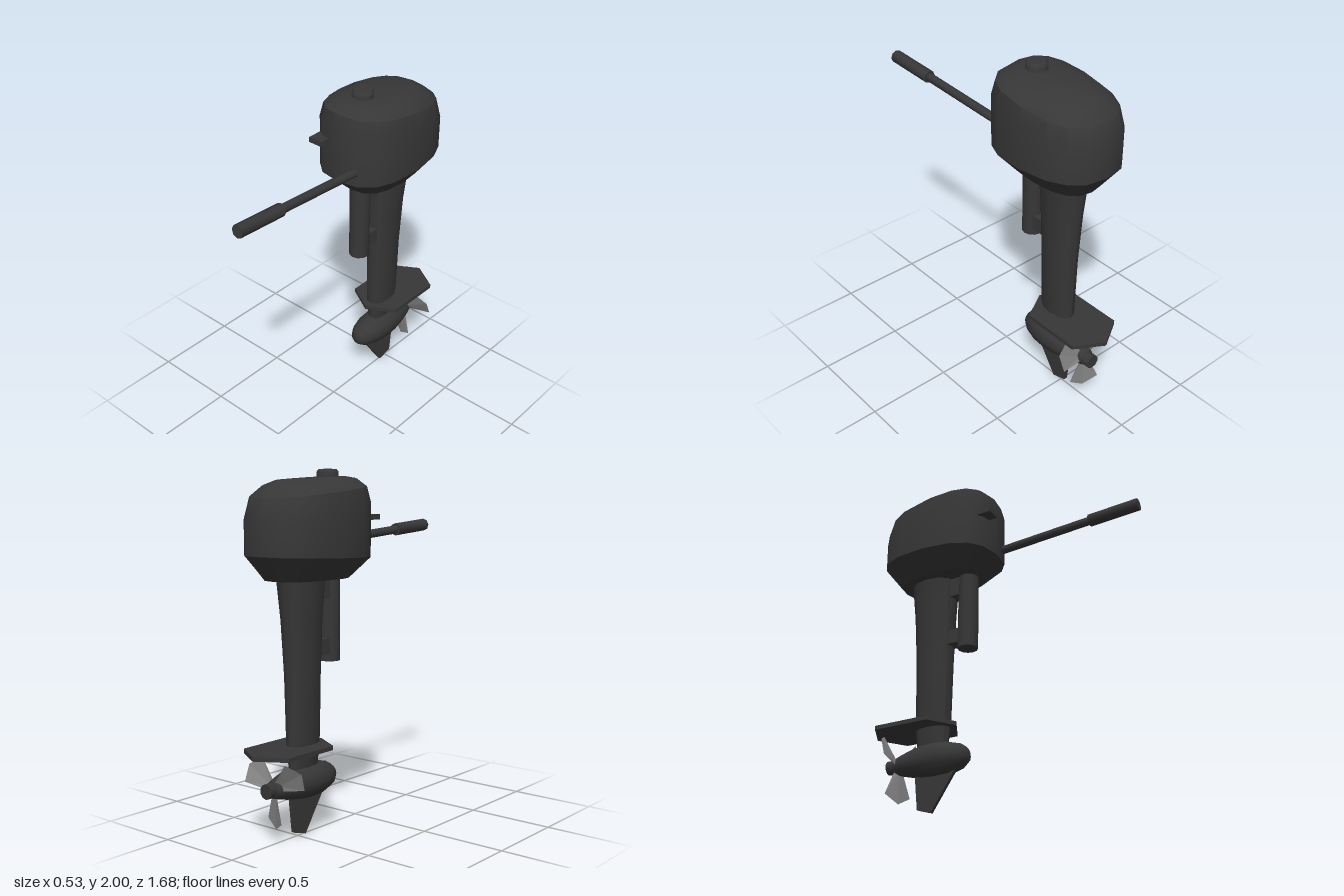
import * as THREE from 'three';
import { toCreasedNormals } from 'three/addons/utils/BufferGeometryUtils.js';

// Closed loft of rounded rings: [y, halfWidth, zFront, zBack, tilt]
function loft(rings, sides, power, crease) {
  const pos = [], idx = [];
  const soft = v => Math.sign(v) * Math.pow(Math.abs(v), power);
  for (const [y, hw, zf, zb, tilt = 0] of rings) {
    for (let i = 0; i < sides; i++) {
      const t = (i / sides) * Math.PI * 2;
      const s = soft(Math.sin(t));
      const narrow = s < 0 ? 1 + 0.06 * s : 1;
      pos.push(hw * soft(Math.cos(t)) * narrow, y + tilt * s, (zf + zb) / 2 + s * (zf - zb) / 2);
    }
  }
  const last = rings.length - 1;
  for (let j = 0; j < last; j++) {
    for (let i = 0; i < sides; i++) {
      const n = (i + 1) % sides;
      const a = j * sides + i, b = j * sides + n;
      idx.push(a, a + sides, b, b, a + sides, b + sides);
    }
  }
  const bottom = pos.length / 3, top = bottom + 1;
  for (const r of [rings[0], rings[last]]) pos.push(0, r[0], (r[2] + r[3]) / 2);
  for (let i = 0; i < sides; i++) {
    const n = (i + 1) % sides;
    idx.push(bottom, i, n, top, last * sides + n, last * sides + i);
  }
  const g = new THREE.BufferGeometry();
  g.setAttribute('position', new THREE.Float32BufferAttribute(pos, 3));
  g.setIndex(idx);
  g.computeVertexNormals();
  return toCreasedNormals(g, crease);
}

// Flat plate from an outline, extruded and centred on its thickness
function plate(points, thickness) {
  const shape = new THREE.Shape(points.map(p => new THREE.Vector2(...p)));
  return new THREE.ExtrudeGeometry(shape, { depth: thickness, bevelEnabled: false })
    .translate(0, 0, -thickness / 2);
}

export function createModel() {
  const model = new THREE.Group();
  model.name = 'outboardMotor';
  const body = new THREE.MeshStandardMaterial({ color: 0x373737 });
  body.name = 'charcoal';
  const metal = new THREE.MeshStandardMaterial({ color: 0x858585, side: THREE.DoubleSide, flatShading: true });
  metal.name = 'propellerGrey';

  function add(name, geometry, material = body, parent = model) {
    const mesh = new THREE.Mesh(geometry, material);
    mesh.name = name;
    parent.add(mesh);
    return mesh;
  }
  function box(name, w, h, d, x, y, z) {
    return add(name, new THREE.BoxGeometry(w, h, d).translate(x, y, z));
  }
  function rod(name, from, to, radius, sides) {
    const a = new THREE.Vector3(...from), b = new THREE.Vector3(...to);
    const dir = b.clone().sub(a);
    const g = new THREE.CylinderGeometry(radius, radius, dir.length(), sides);
    const mesh = add(name, toCreasedNormals(g, 0.9));
    mesh.position.copy(a).add(b).multiplyScalar(0.5);
    mesh.quaternion.setFromUnitVectors(new THREE.Vector3(0, 1, 0), dir.normalize());
    return mesh;
  }

  // Engine cowl, its top sloping down to the back
  add('cowl', loft([
    [1.415, 0.165, -0.15, -0.67],
    [1.535, 0.265, -0.03, -0.77, -0.012],
    [1.78, 0.265, -0.03, -0.77, 0.06],
    [1.88, 0.245, -0.05, -0.735, 0.035],
    [1.93, 0.19, -0.1, -0.665, 0.025],
    [1.95, 0.125, -0.155, -0.6, 0.014],
  ], 16, 0.75, 0.62));

  // Filler cap with a bevelled rim
  const capProfile = [[0, 1.93], [0.062, 1.93], [0.062, 1.985], [0.05, 2.0], [0, 2.0]];
  add('topCap', toCreasedNormals(
    new THREE.LatheGeometry(capProfile.map(p => new THREE.Vector2(...p)), 10), 0.7)
    .translate(0, 0, -0.235));
  box('chokeKnob', 0.09, 0.03, 0.085, -0.12, 1.74, -0.0275);

  // Tiller arm and grip
  rod('tillerArm', [0.102, 1.605, -0.08], [0.117, 1.65, 0.54], 0.025, 8);
  rod('tillerGrip', [0.117, 1.65, 0.53], [0.125, 1.672, 0.838], 0.037, 8);

  // Drive leg
  add('driveLeg', loft([
    [0.36, 0.045, -0.35, -0.55],
    [0.55, 0.065, -0.338, -0.562],
    [0.9, 0.074, -0.333, -0.568],
    [1.2, 0.088, -0.324, -0.585],
    [1.43, 0.112, -0.314, -0.605],
  ], 12, 0.85, 0.7));

  // Swivel tube and its two brackets
  rod('swivelTube', [0, 0.95, -0.225], [0, 1.43, -0.225], 0.06, 12);
  box('lowerBracket', 0.08, 0.09, 0.12, 0, 1.035, -0.3);
  box('upperBracket', 0.08, 0.12, 0.12, 0, 1.36, -0.29);

  // Plate above the propeller
  const outline = [[0, 0.295], [0.165, 0.39], [0.165, 0.74], [0, 0.84], [-0.165, 0.74], [-0.165, 0.39]];
  add('cavitationPlate', plate(outline, 0.024).rotateX(-Math.PI / 2).translate(0, 0.503, 0));

  // Torpedo-shaped gearcase, turned about the propeller axis
  const axisY = 0.305;
  const gearProfile = [[0, -0.7], [0.045, -0.7], [0.062, -0.65], [0.08, -0.58], [0.095, -0.5],
    [0.099, -0.42], [0.094, -0.34], [0.072, -0.26], [0.045, -0.222], [0.015, -0.21], [0, -0.21]];
  add('gearcase', toCreasedNormals(
    new THREE.LatheGeometry(gearProfile.map(p => new THREE.Vector2(...p)), 12), 0.7)
    .rotateX(Math.PI / 2).translate(0, axisY, 0));
  rod('propellerHub', [0, axisY, -0.64], [0, axisY, -0.745], 0.042, 10);

  // Skeg fin below the gearcase
  const fin = [[0.27, 0.26], [0.445, 0.003], [0.537, 0.03], [0.562, 0.26]];
  add('skeg', plate(fin, 0.022).rotateY(Math.PI / 2));

  // Three pitched blades, each gently folded along its spine
  const propeller = new THREE.Group();
  propeller.name = 'propeller';
  propeller.position.set(0, axisY, -0.68);
  model.add(propeller);
  const bladeGeometry = new THREE.BufferGeometry();
  bladeGeometry.setAttribute('position', new THREE.Float32BufferAttribute([
    0, -0.03, 0.008, 0, -0.222, 0.008,
    -0.028, -0.03, 0, -0.087, -0.172, 0,
    0.028, -0.03, 0, 0.083, -0.176, 0,
  ], 3));
  bladeGeometry.setIndex([0, 2, 3, 0, 3, 1, 0, 1, 5, 0, 5, 4]);
  bladeGeometry.rotateY(-0.38);
  bladeGeometry.computeVertexNormals();
  for (let i = 0; i < 3; i++) {
    add('propellerBlade', bladeGeometry, metal, propeller).rotation.z = (i * Math.PI * 2) / 3;
  }
  return model;
}
